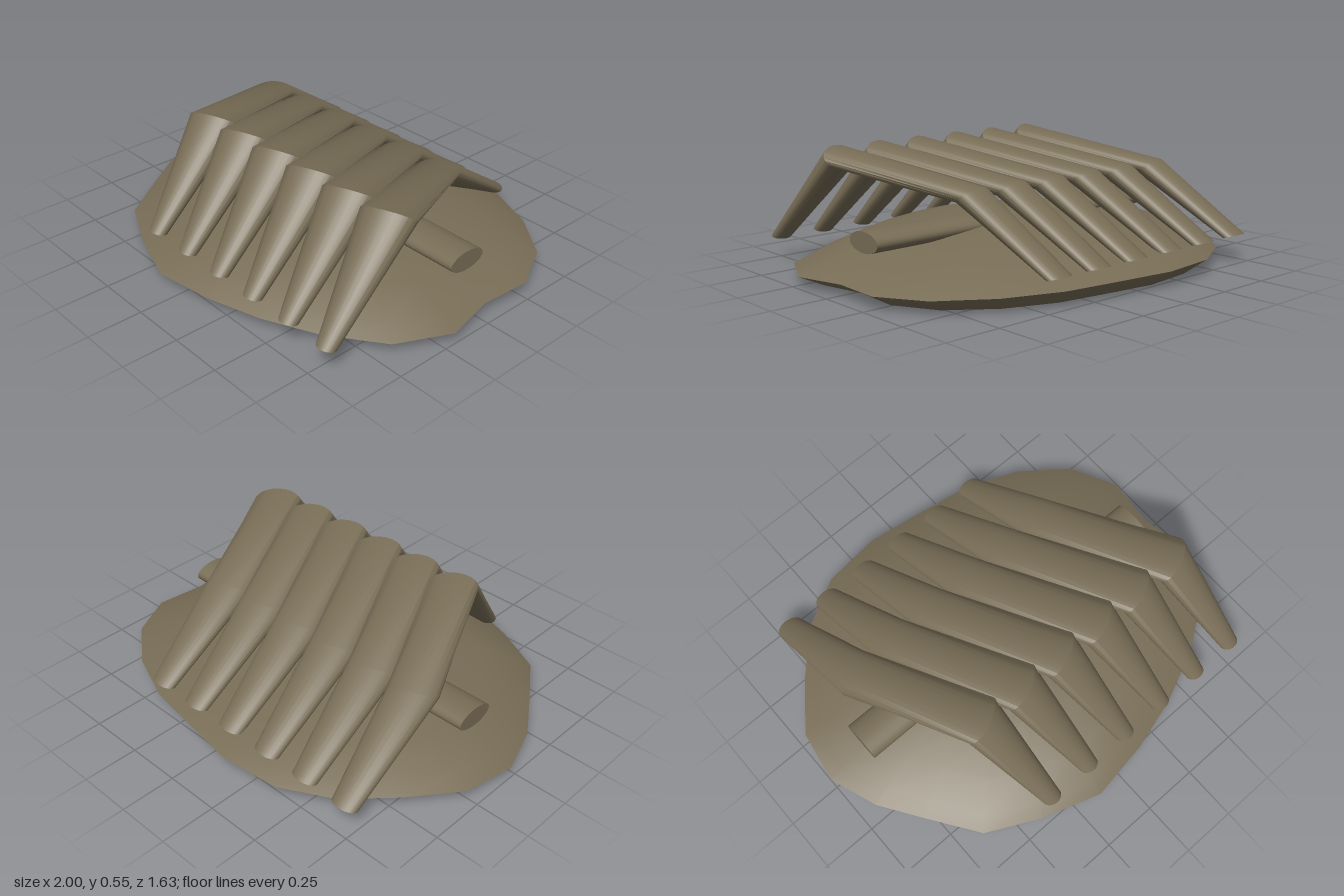
import * as THREE from 'three';
import { toCreasedNormals } from 'three/addons/utils/BufferGeometryUtils.js';

const V = (x, y, z) => new THREE.Vector3(x, y, z);

// Skin a list of equal-length closed rings and cap both ends.
function loft(rings, crease) {
  const n = rings[0].length;
  const tri = [];
  const centre = (ring) => ring.reduce((s, p) => s.add(p), V(0, 0, 0)).divideScalar(n);
  const first = rings[0], last = rings[rings.length - 1];
  const c0 = centre(first), c1 = centre(last);
  for (let i = 0; i < n; i++) {
    const j = (i + 1) % n;
    for (let k = 0; k < rings.length - 1; k++) {
      const a = rings[k], b = rings[k + 1];
      tri.push(a[i], a[j], b[j], a[i], b[j], b[i]);
    }
    tri.push(c0, first[j], first[i], c1, last[i], last[j]);
  }
  const geometry = new THREE.BufferGeometry().setFromPoints(tri);
  return toCreasedNormals(geometry, crease);
}

// Elliptical section spanned by a width vector and a height vector.
function section(centre, width, height, sides = 24) {
  return Array.from({ length: sides }, (_, i) => {
    const t = (i / sides) * Math.PI * 2;
    return centre.clone().addScaledVector(width, Math.cos(t)).addScaledVector(height, Math.sin(t));
  });
}

export function createModel() {
  const group = new THREE.Group();
  const clay = new THREE.MeshStandardMaterial({ color: 0x786d56 });
  clay.name = 'olive brown clay';
  const add = (name, geometry) => {
    const mesh = new THREE.Mesh(geometry, clay);
    mesh.name = name;
    group.add(mesh);
    return mesh;
  };

  // Irregular low mound, outline as x, z pairs
  const outline = [
    [-1, -0.03], [-0.96, -0.27], [-0.8, -0.48], [-0.62, -0.67], [-0.4, -0.79], [-0.13, -0.82],
    [0.15, -0.78], [0.4, -0.74], [0.65, -0.64], [0.86, -0.48], [0.97, -0.27], [0.95, -0.03],
    [1, 0.2], [0.88, 0.43], [0.65, 0.59], [0.4, 0.7], [0.15, 0.77], [-0.13, 0.81],
    [-0.4, 0.72], [-0.64, 0.6], [-0.8, 0.37], [-0.92, 0.19],
  ].reverse();
  // Scale, height and backward tilt of each level
  const levels = [
    [0.89, 0, 0], [1, 0.055, 0.02], [0.92, 0.09, 0.015], [0.75, 0.145, 0],
    [0.5, 0.19, 0], [0.25, 0.222, 0], [0.06, 0.235, 0],
  ];
  add('mound', loft(levels.map(([s, y, tilt]) =>
    outline.map(([x, z]) => V(x * s, y - tilt * z, z * s))), 0.9));

  // Flattened log lying across the mound
  add('log', loft([-0.8, 0.84].map((x) =>
    section(V(x, 0.21, -0.035), V(0, 0, 0.095), V(0, -0.045, 0))), 0.9));

  // Bent ribs, lofted from back foot to front foot
  const rib = loft([
    section(V(-0.7, 0.115, -0.705), V(0.062, 0, 0), V(0, 0.01, -0.036)),
    section(V(-0.645, 0.385, -0.25), V(0.098, 0, -0.035), V(0, 0.035, -0.055)),
    section(V(-0.385, 0.505, 0.3), V(0.105, 0, -0.045), V(0, 0.045, 0.05)),
    section(V(-0.315, 0.112, 0.685), V(0.045, 0, 0), V(0, 0.008, 0.036)),
  ], 0.9);
  for (let i = 0; i < 6; i++) add('rib' + (i + 1), rib).position.x = i * 0.22;

  return group;
}
